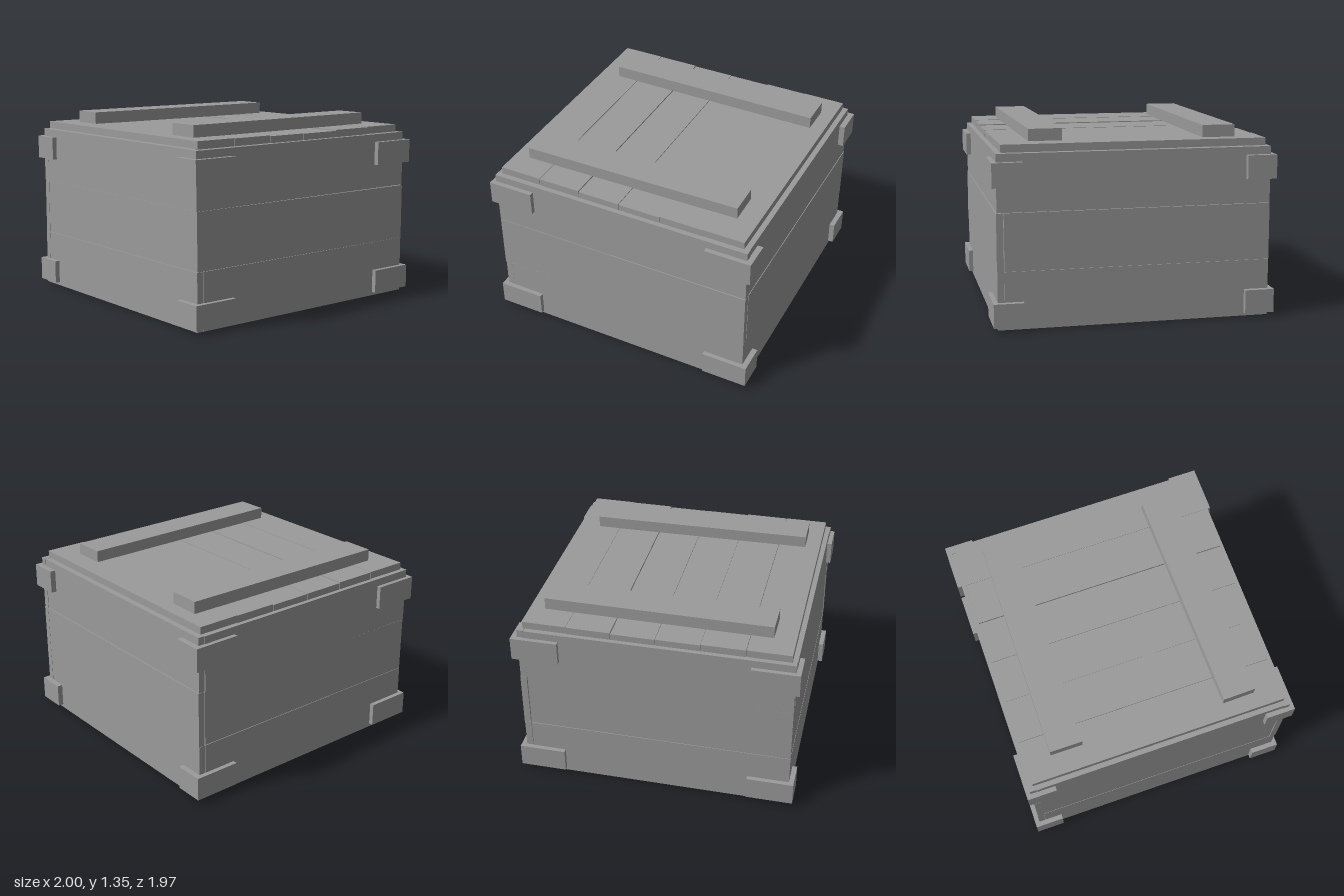
import * as THREE from 'three';

const material = new THREE.MeshStandardMaterial({ color: 0x9b9b9b, flatShading: true });

// Box given by its minimum and maximum corners
function box(parent, name, [x0, y0, z0], [x1, y1, z1]) {
  const mesh = new THREE.Mesh(new THREE.BoxGeometry(x1 - x0, y1 - y0, z1 - z0), material);
  mesh.position.set((x0 + x1) / 2, (y0 + y1) / 2, (z0 + z1) / 2);
  mesh.name = name;
  parent.add(mesh);
  return mesh;
}

function group(parent, name) {
  const g = new THREE.Group();
  g.name = name;
  parent.add(g);
  return g;
}

export function createModel() {
  const crate = new THREE.Group();
  crate.name = 'crate';

  // Walls: three rows of boards; the front right corner joint alternates
  const walls = group(crate, 'walls');
  const rows = [
    { y0: 0.01, y1: 0.41, frontX: -0.912, rightZ: 0.95, shift: 0 },
    { y0: 0.412, y1: 0.809, frontX: -0.967, rightZ: 0.903, shift: 0.002 },
    { y0: 0.811, y1: 1.205, frontX: -0.97, rightZ: 0.903, shift: -0.002 },
  ];
  for (const { y0, y1, frontX, rightZ, shift: s } of rows) {
    box(walls, 'frontBoard', [frontX, y0, 0.905 + s], [0.962, y1, 0.952 + s]).rotation.z = -s * 0.5;
    box(walls, 'backBoard', [-0.965, y0, -0.952 + s], [0.91, y1, -0.905 + s]).rotation.z = s * 0.5;
    box(walls, 'leftBoard', [0.914 + s, y0, -0.95], [0.961 + s, y1, 0.903]);
    box(walls, 'rightBoard', [-0.965 + s, y0, -0.903], [-0.914 + s, y1, rightZ]);
  }

  // Floor and lid: six boards each, at slightly uneven heights
  const floor = group(crate, 'floor');
  const lid = group(crate, 'lid');
  const floorY = [0.006, 0.008, 0.005, 0, 0.006, 0.008];
  const lidY = [1.208, 1.206, 1.2, 1.198, 1.205, 1.208];
  for (let i = 0; i < 6; i++) {
    const fx = -0.912 + i * 0.304;
    box(floor, 'floorBoard', [fx, floorY[i], -0.904], [fx + 0.302, floorY[i] + 0.05, 0.904]);
    const lx = -0.932 + i * 0.3095;
    const width = i === 4 ? 0.3095 : 0.3065;
    box(lid, 'lidBoard', [lx, lidY[i], -0.923], [lx + width, lidY[i] + 0.052, 0.915]);
  }

  // Battens across the lid, laid a little crooked
  const front = box(lid, 'frontBatten', [-0.823, 1.259, 0.488], [0.775, 1.343, 0.718]);
  front.rotation.y = 0.015;
  const back = box(lid, 'backBatten', [-0.782, 1.259, -0.737], [0.818, 1.345, -0.507]);
  back.rotation.y = -0.007;

  // L-shaped corner brackets, top and bottom
  const corner = [
    [1, 0.984], [0.667, 0.984], [0.667, 0.945], [0.955, 0.945], [0.955, 0.776], [1, 0.776],
  ];
  const brackets = group(crate, 'cornerBrackets');
  for (const y of [0.034, 0.983]) {
    for (const sx of [-1, 1]) {
      for (const sz of [-1, 1]) {
        const outline = new THREE.Shape(corner.map(([x, z]) => new THREE.Vector2(x * sx, -z * sz)));
        const geometry = new THREE.ExtrudeGeometry(outline, { depth: 0.167, bevelEnabled: false });
        geometry.rotateX(-Math.PI / 2);
        const bracket = new THREE.Mesh(geometry, material);
        bracket.position.y = y;
        bracket.name = 'cornerBracket';
        brackets.add(bracket);
      }
    }
  }
  return crate;
}
